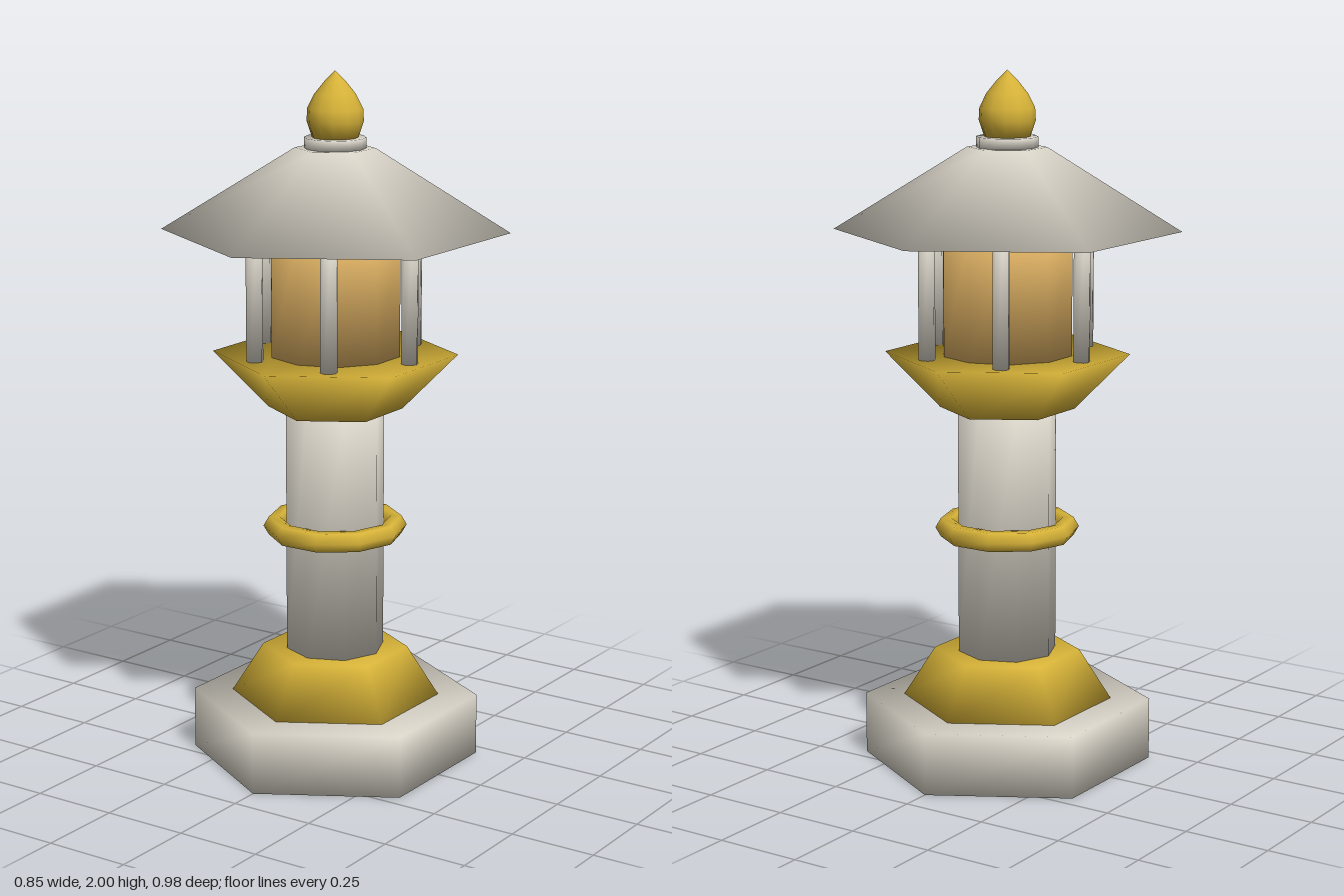
import * as THREE from 'three';

const material = (name, color) => {
  const m = new THREE.MeshStandardMaterial({ color });
  m.name = name;
  return m;
};

// Closed n-sided frustum with a corner at +z; each corner shares one smooth,
// angle-weighted normal between its two sides and the cap.
function frustum(n, rBottom, rTop, y0, y1) {
  const half = Math.PI / n;
  const run = (rBottom - rTop) * Math.cos(half);
  const slant = Math.hypot(run, y1 - y0);
  const bottomAngle = Math.atan2(slant, (rBottom - rTop) * Math.sin(half));
  const capAngle = Math.PI - 2 * half;
  const positions = [], normals = [], index = [];

  const rings = [
    [rBottom, y0, bottomAngle, -1],
    [rTop, y1, Math.PI - bottomAngle, 1],
  ];
  for (const [r, y, angle, sign] of rings) {
    const out = 2 * angle * ((y1 - y0) / slant) * Math.cos(half);
    const up = 2 * angle * (run / slant) + sign * capAngle;
    const len = Math.hypot(out, up);
    for (let i = 0; i < n; i++) {
      const s = Math.sin(2 * half * i), c = Math.cos(2 * half * i);
      positions.push(r * s, y, r * c);
      normals.push(out * s / len, up / len, out * c / len);
    }
  }
  for (let i = 0; i < n; i++) {
    const j = (i + 1) % n;
    index.push(i, j, n + j, i, n + j, n + i);
  }
  for (let i = 1; i < n - 1; i++) {
    index.push(0, i + 1, i, n, n + i, n + i + 1);
  }

  const geometry = new THREE.BufferGeometry();
  geometry.setAttribute('position', new THREE.Float32BufferAttribute(positions, 3));
  geometry.setAttribute('normal', new THREE.Float32BufferAttribute(normals, 3));
  geometry.setIndex(index);
  return geometry;
}

export function createModel() {
  const stone = material('pale stone', 0xd9d4c8);
  const gold = material('gold', 0xd6b238);
  const glow = material('lamp glow', 0xdfb264);

  const model = new THREE.Group();
  model.name = 'stoneLantern';
  const add = (name, geometry, mat, parent = model) => {
    const mesh = new THREE.Mesh(geometry, mat);
    mesh.name = name;
    parent.add(mesh);
    return mesh;
  };

  // Hexagonal plinth, flared foot and pillar
  add('base', frustum(6, 0.415, 0.415, 0, 0.18), stone);
  add('foot', frustum(6, 0.302, 0.21, 0.18, 0.325), gold);
  add('pillar', frustum(8, 0.143, 0.143, 0.32, 1.045), stone);

  // Ring around the pillar
  const ring = add('pillarRing', new THREE.TorusGeometry(0.176, 0.031, 6, 10), gold);
  ring.rotation.x = Math.PI / 2;
  ring.position.y = 0.69;

  // Platform, lamp chamber and its six posts
  add('platform', frustum(6, 0.192, 0.349, 1.04, 1.2), gold);
  add('lampChamber', frustum(10, 0.19, 0.19, 1.2, 1.55), glow);
  const posts = new THREE.Group();
  posts.name = 'posts';
  model.add(posts);
  const postGeometry = frustum(8, 0.024, 0.024, 1.2, 1.55);
  for (let i = 0; i < 6; i++) {
    const a = (i * Math.PI) / 3;
    const post = add('post', postGeometry, stone, posts);
    post.position.set(0.25 * Math.cos(a), 0, 0.25 * Math.sin(a));
  }

  // Hexagonal roof, collar and bud finial
  add('roof', frustum(6, 0.492, 0.113, 1.55, 1.785), stone);
  add('collar', frustum(12, 0.087, 0.087, 1.783, 1.815), stone);
  const bud = [
    [0, 1.813], [0.065, 1.815], [0.08, 1.86], [0.078, 1.895],
    [0.058, 1.935], [0.03, 1.97], [0, 2],
  ].map(([r, y]) => new THREE.Vector2(r, y));
  add('finial', new THREE.LatheGeometry(bud, 12), gold);

  return model;
}
